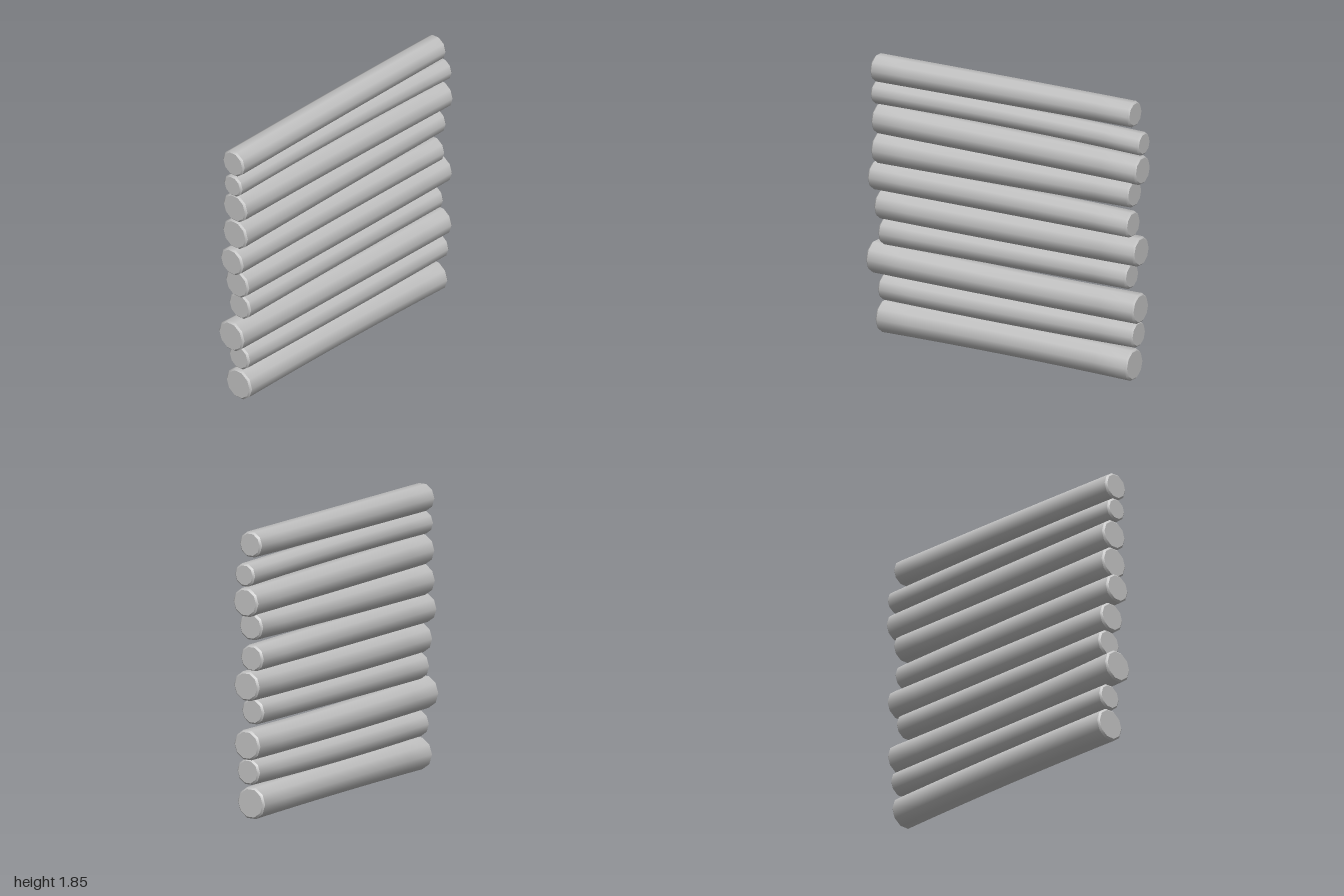
import * as THREE from 'three';
import { toCreasedNormals } from 'three/addons/utils/BufferGeometryUtils.js';

// Each log, bottom to top: [xLeftEnd, xRightEnd, bottom y at start/middle/end, top y at start/middle/end]
const LOGS = [
  [-0.93, 0.93, 0.005, 0.01, 0.0, 0.21, 0.21, 0.20],
  [-0.925, 0.96, 0.22, 0.214, 0.225, 0.385, 0.385, 0.39],
  [-1.0, 0.975, 0.39, 0.383, 0.387, 0.594, 0.572, 0.577],
  [-0.92, 0.91, 0.59, 0.598, 0.607, 0.765, 0.765, 0.77],
  [-0.945, 0.98, 0.758, 0.758, 0.77, 0.945, 0.947, 0.957],
  [-0.995, 0.92, 0.945, 0.948, 0.95, 1.128, 1.125, 1.117],
  [-0.965, 0.93, 1.126, 1.138, 1.155, 1.325, 1.32, 1.327],
  [-0.965, 0.99, 1.323, 1.32, 1.315, 1.515, 1.505, 1.497],
  [-0.985, 1.0, 1.517, 1.525, 1.512, 1.663, 1.667, 1.658],
  [-0.98, 0.935, 1.665, 1.677, 1.69, 1.838, 1.846, 1.852],
];
const SIDES = 10, RINGS = 10, BEVEL = 0.012;

// Smooth curve through three evenly spaced values
const bend = (a, m, b, t) => a * (1 - t) * (1 - 2 * t) + m * 4 * t * (1 - t) + b * t * (2 * t - 1);

// A ten-sided log along x, gently tapered, with bevelled rims
function logGeometry([x0, x1, b0, b1, b2, t0, t1, t2]) {
  const geo = new THREE.CylinderGeometry(1, 1, 1, SIDES, RINGS).rotateZ(-Math.PI / 2);
  const pos = geo.attributes.position;
  for (let i = 0; i < pos.count; i++) {
    const ring = Math.round((pos.getX(i) + 0.5) * RINGS);
    const atEnd = ring === 0 || ring === RINGS;
    const inner = THREE.MathUtils.clamp((ring - 1) / (RINGS - 2), 0, 1);
    let x = THREE.MathUtils.lerp(x0 + BEVEL, x1 - BEVEL, inner);
    if (ring === 0) x = x0;
    if (ring === RINGS) x = x1;
    const low = bend(b0, b1, b2, inner), high = bend(t0, t1, t2, inner);
    // flats lie at top and bottom, so the corner radius is a little over half the height
    const r = (high - low) / 2 / Math.cos(Math.PI / SIDES) - (atEnd ? BEVEL : 0);
    const z = -0.004 * Math.sin(Math.PI * inner);
    pos.setXYZ(i, x, (low + high) / 2 + pos.getY(i) * r, z + pos.getZ(i) * r);
  }
  return toCreasedNormals(geo, 0.69);
}

export function createModel() {
  const wall = new THREE.Group();
  wall.name = 'logWall';
  const grey = new THREE.MeshStandardMaterial({ color: 0xc0c0c0 });
  grey.name = 'plainGrey';
  LOGS.forEach((spec, i) => {
    const log = new THREE.Mesh(logGeometry(spec), grey);
    log.name = `log${i + 1}`;
    wall.add(log);
  });
  return wall;
}
